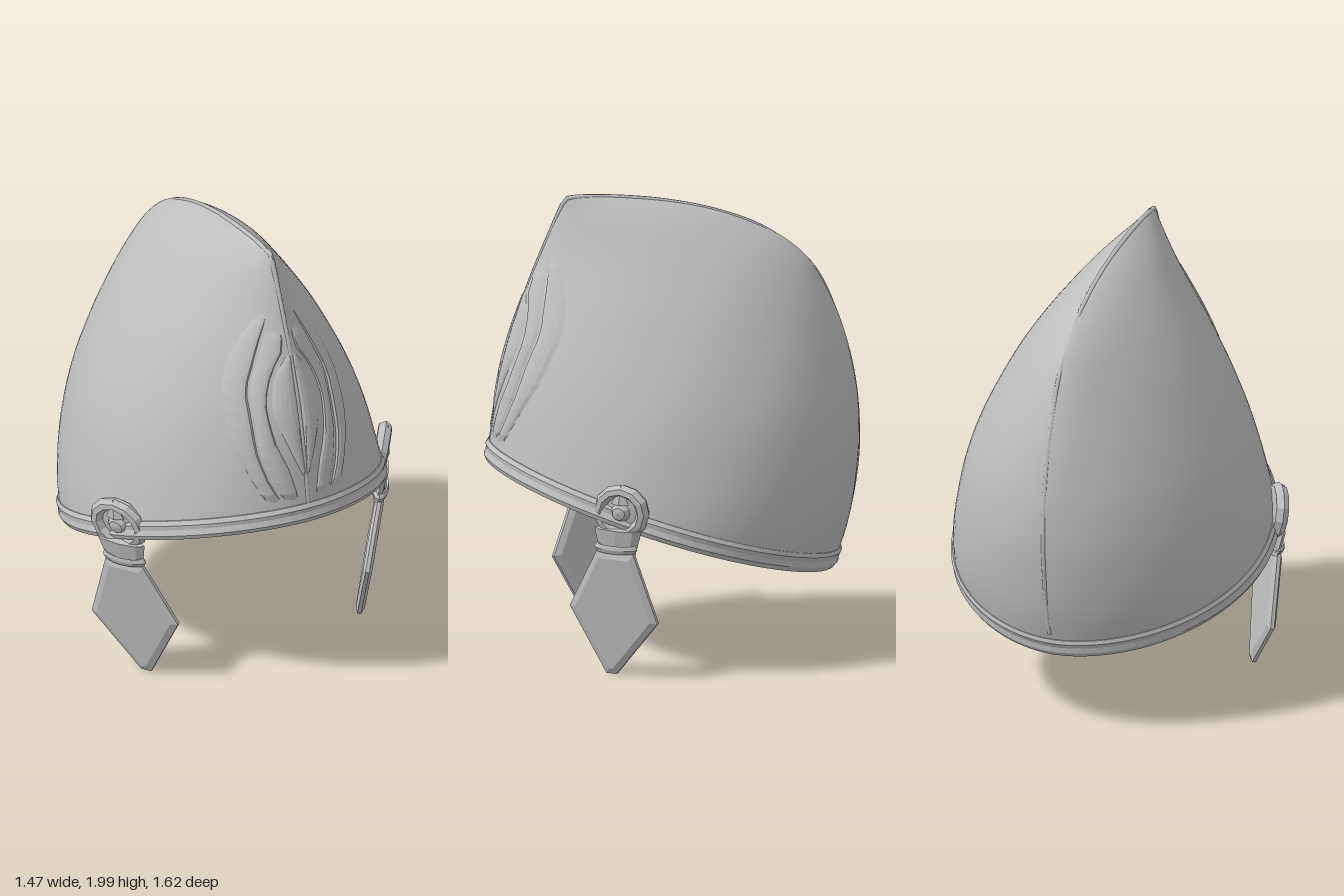
import * as THREE from 'three';

// Monotone cubic through [y, value] points
function curve(pts) {
  const n = pts.length, d = [], m = [];
  for (let i = 0; i < n - 1; i++) d.push((pts[i + 1][1] - pts[i][1]) / (pts[i + 1][0] - pts[i][0]));
  for (let i = 0; i < n; i++) {
    if (i === 0) m.push(d[0]);
    else if (i === n - 1) m.push(d[n - 2]);
    else m.push(d[i - 1] * d[i] > 0 ? 2 * d[i - 1] * d[i] / (d[i - 1] + d[i]) : 0);
  }
  return (y) => {
    y = Math.min(Math.max(y, pts[0][0]), pts[n - 1][0]);
    let i = 0;
    while (i < n - 2 && y > pts[i + 1][0]) i++;
    const h = pts[i + 1][0] - pts[i][0], t = (y - pts[i][0]) / h, t2 = t * t, t3 = t2 * t;
    return (2 * t3 - 3 * t2 + 1) * pts[i][1] + (t3 - 2 * t2 + t) * h * m[i]
      + (3 * t2 - 2 * t3) * pts[i + 1][1] + (t3 - t2) * h * m[i + 1];
  };
}

// Bowl profile by height: half width, front edge, back edge
const halfWidth = curve([[0.36, 0.665], [0.6, 0.69], [0.75, 0.675], [0.87, 0.65], [1, 0.62], [1.13, 0.58],
  [1.29, 0.513], [1.4, 0.458], [1.52, 0.392], [1.6, 0.342], [1.76, 0.228], [1.9, 0.112], [2, 0]]);
const frontZ = curve([[0.36, 0.86], [0.6, 0.84], [0.9, 0.795], [1.29, 0.728], [1.52, 0.66], [1.77, 0.562],
  [1.95, 0.487], [1.985, 0.468], [2, 0.42]]);
const backZ = curve([[0.36, -0.69], [0.58, -0.76], [0.75, -0.788], [0.92, -0.802], [1.05, -0.799], [1.28, -0.763],
  [1.47, -0.705], [1.68, -0.6], [1.78, -0.5], [1.84, -0.4], [1.92, -0.2], [1.965, 0], [1.988, 0.2], [2, 0.4]]);
const sharpness = (y) => 1.07 + 0.4 * Math.min(Math.max((y - 0.9) / 1.1, 0), 1);

// Point of the bowl: angle a from the front, height y, offset outward
function bowlPoint(a, y, out = 0, drop = 0) {
  const s = Math.sin(a), f = frontZ(y), b = backZ(y);
  const x = Math.sign(s) * Math.pow(Math.abs(s), sharpness(y)) * Math.max(halfWidth(y) + out, 0);
  return new THREE.Vector3(x, y - drop, (f + b) / 2 + Math.max((f - b) / 2 + out, 0) * Math.cos(a));
}

// Height of the sloping lower edge at angle a
function rimY(a) {
  let y = 0.6;
  for (let i = 0; i < 12; i++) y = 0.362 + 0.322 * (bowlPoint(a, y).z + 0.69);
  return y;
}

// Surface over a u, v grid; its front side is du x dv
function grid(nu, nv, fn, inward = false) {
  const pos = [], idx = [];
  for (let j = 0; j <= nv; j++) for (let i = 0; i <= nu; i++) pos.push(...fn(i / nu, j / nv).toArray());
  for (let j = 0; j < nv; j++) for (let i = 0; i < nu; i++) {
    const a = j * (nu + 1) + i, b = a + 1, c = a + nu + 1, d = c + 1;
    if (inward) idx.push(a, d, b, a, c, d);
    else idx.push(a, b, d, a, d, c);
  }
  const g = new THREE.BufferGeometry();
  g.setAttribute('position', new THREE.Float32BufferAttribute(pos, 3));
  g.setIndex(idx);
  g.computeVertexNormals();
  return g;
}

function flat(geometry) {
  const g = geometry.index ? geometry.toNonIndexed() : geometry;
  g.computeVertexNormals();
  return g;
}

// Mirror across x = 0 and restore the winding
function mirrored(geometry) {
  const g = geometry.index ? geometry.toNonIndexed() : geometry.clone();
  g.scale(-1, 1, 1);
  for (const attr of Object.values(g.attributes)) {
    const n = attr.itemSize, arr = attr.array;
    for (let t = 0; t < attr.count; t += 3) for (let k = 0; k < n; k++) {
      const p = t * n + k, q = (t + 2) * n + k;
      [arr[p], arr[q]] = [arr[q], arr[p]];
    }
  }
  return g;
}

export function createModel() {
  const model = new THREE.Group();
  model.name = 'helmet';
  const steel = new THREE.MeshStandardMaterial({ color: 0xbebebe });
  steel.name = 'steel';
  const add = (name, g) => {
    const mesh = new THREE.Mesh(g, steel);
    mesh.name = name;
    model.add(mesh);
  };
  const addPair = (name, g) => {
    add(name + 'Left', g);
    add(name + 'Right', mirrored(g));
  };

  // Bowl halves meeting in a sharp ridge, and their lining
  const rise = (v) => 1 - (1 - v) * (1 - v);
  addPair('bowl', grid(40, 40, (u, v) => {
    const a = u * Math.PI, y0 = rimY(a) + 0.01;
    return bowlPoint(a, y0 + (2 - y0) * rise(v));
  }));
  addPair('lining', grid(40, 30, (u, v) => {
    const a = u * Math.PI, y0 = rimY(a) + 0.01, t = rise(v);
    return bowlPoint(a, y0 + (2 - y0) * t, -0.016, 0.022 * t);
  }, true));

  // Band around the lower edge
  const band = [[0, -0.03], [0, 0.002], [0.02, 0.013], [0.045, 0.008], [0.065, 0.013], [0.083, 0.004],
    [0.086, -0.014], [0.04, -0.03], [0, -0.03]];
  add('rimBand', flat(grid(80, band.length - 1, (u, v) => {
    const a = u * Math.PI * 2, [dy, out] = band[Math.round(v * (band.length - 1))];
    return bowlPoint(a, rimY(a) + dy, out);
  })));

  // Thin raised crest line from brow to nape
  const crest = [];
  for (const y of [0.92, 1.29, 1.6, 1.85, 1.95]) crest.push(new THREE.Vector3(0, y - 0.006, frontZ(y) - 0.006));
  crest.push(new THREE.Vector3(0, 1.98, 0.462), new THREE.Vector3(0, 1.988, 0.41));
  for (const y of [1.988, 1.965, 1.92, 1.84, 1.68, 1.47, 1.2, 0.92, 0.7, 0.48]) {
    crest.push(new THREE.Vector3(0, y - 0.005, backZ(y) + 0.007));
  }
  add('crestLine', new THREE.TubeGeometry(new THREE.CatmullRomCurve3(crest), 90, 0.012, 6));

  // Relief plates on the brow, bounded by x = inner(y) and x = outer(y)
  const relief = (y0, y1, inner, outer, lift) => flat(grid(6, 14, (u, v) => {
    const y = y0 + (y1 - y0) * v, x = inner(y) + (outer(y) - inner(y)) * u;
    const a = Math.asin(Math.min(Math.pow(x / halfWidth(y), 1 / sharpness(y)), 1));
    const p = bowlPoint(a, y);
    const swell = Math.max(Math.sin(Math.PI * u), 0) ** 0.5 * Math.max(Math.sin(Math.PI * v), 0) ** 0.25;
    p.z += -0.006 + lift * swell;
    return p;
  }));
  const wingEdge = curve([[0.93, 0.18], [1.1, 0.25], [1.25, 0.29], [1.37, 0.285], [1.5, 0.25], [1.64, 0.17], [1.76, 0.07]]);
  const featherGap = curve([[0.93, 0.1], [1.05, 0.16], [1.2, 0.19], [1.4, 0.19], [1.55, 0.14], [1.76, 0.05]]);
  const wingRoot = curve([[0.93, 0.03], [1.1, 0.07], [1.2, 0.11], [1.35, 0.13], [1.5, 0.09], [1.62, 0.02], [1.76, 0.01]]);
  const dropEdge = curve([[1.03, 0.005], [1.2, 0.075], [1.35, 0.12], [1.48, 0.095], [1.6, 0.005]]);
  addPair('outerFeather', relief(0.93, 1.76, featherGap, wingEdge, 0.026));
  addPair('innerFeather', relief(0.93, 1.7, wingRoot, featherGap, 0.022));
  addPair('browLeaf', relief(1.03, 1.6, () => 0, dropEdge, 0.02));

  // Hanging cheek pieces: local x runs backward, y up the plate, z outward
  const frame = new THREE.Matrix4().makeBasis(new THREE.Vector3(0.544, 0, -0.839),
    new THREE.Vector3(0.184, 0.983, 0), new THREE.Vector3(0.825, -0.154, 0.535)).setPosition(0.575, 0.28, 0.3);
  const hang = (name, g) => addPair(name, flat(g).applyMatrix4(frame));

  const outline = [[-0.03, -0.274], [0.02, -0.274], [0.213, -0.02], [0.09, 0.29], [-0.09, 0.29], [-0.214, 0.022]];
  const plate = new THREE.ExtrudeGeometry(new THREE.Shape(outline.map(([x, y]) => new THREE.Vector2(x, y))),
    { depth: 0.016, bevelThickness: 0.012, bevelSize: 0.028, bevelOffset: -0.028, bevelSegments: 1 });
  hang('cheekPlate', plate.translate(0, 0, -0.008));

  // Neck flaring up to the boss, bound by a collar
  const neck = new THREE.CylinderGeometry(0.115, 0.085, 0.12, 8);
  hang('cheekNeck', neck.scale(1, 1, 0.25).translate(0.005, 0.335, -0.01));
  const collar = new THREE.TorusGeometry(0.085, 0.02, 5, 12).rotateX(Math.PI / 2);
  hang('cheekCollar', collar.scale(1, 1, 0.35).translate(0, 0.31, -0.004));

  // Round boss with a raised ring and a pin
  const boss = [[0.001, -0.03], [0.12, -0.03], [0.135, 0], [0.12, 0.025], [0.095, 0.03], [0.075, 0.004],
    [0.045, 0.008], [0.03, 0.03], [0.001, 0.036]].map(([r, h]) => new THREE.Vector2(r, h));
  const disc = new THREE.LatheGeometry(boss, 12).rotateX(Math.PI / 2);
  hang('hingeBoss', disc.scale(1, 0.95, 1).translate(0.012, 0.47, -0.028));
  const pin = new THREE.ConeGeometry(0.045, 0.09, 5).scale(1, 1, 0.5);
  hang('hingePin', pin.translate(0.012, 0.555, -0.018));

  return model;
}
